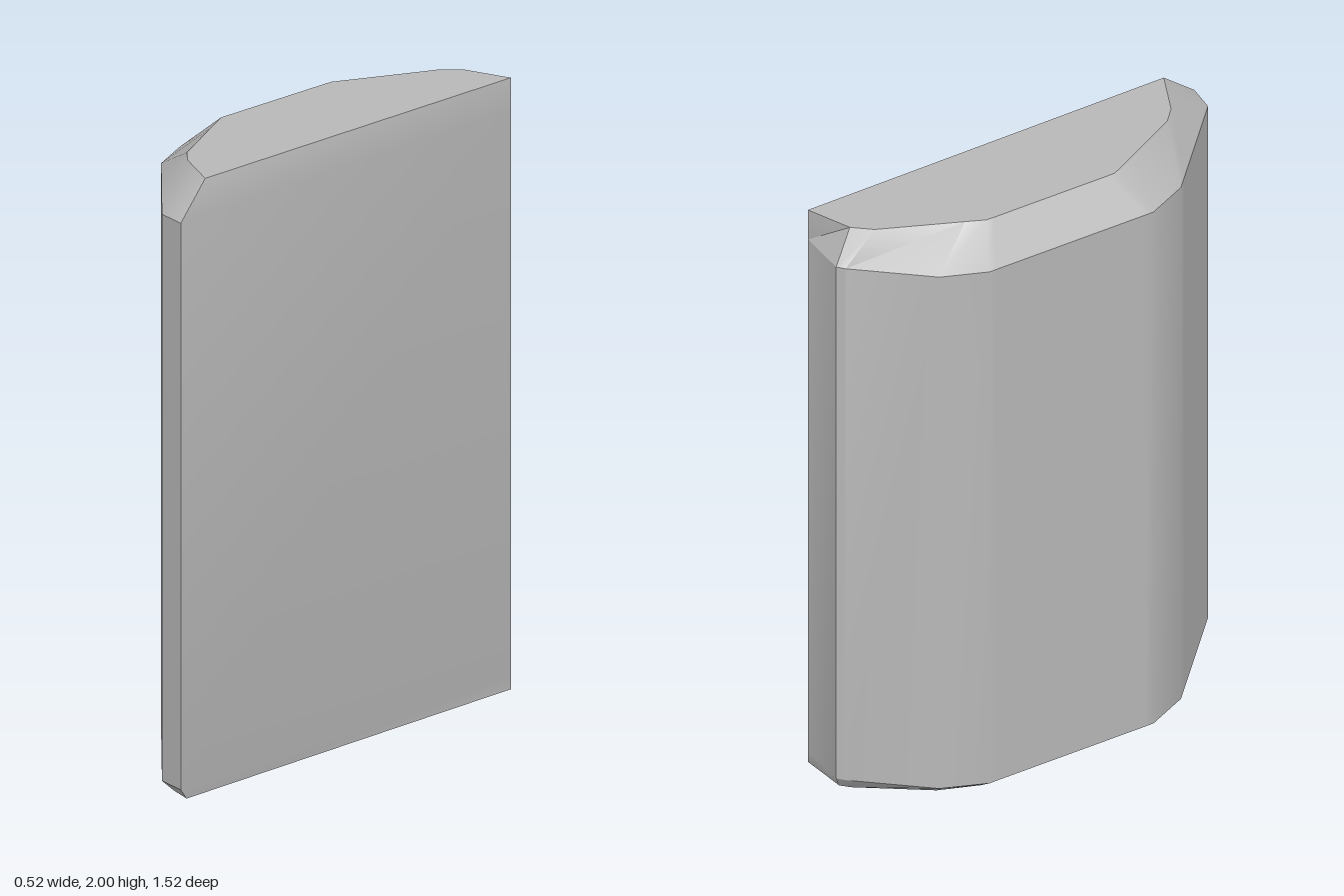
import * as THREE from 'three';
import { toCreasedNormals } from 'three/addons/utils/BufferGeometryUtils.js';

// Horizontal outlines as [x, z], running from the back corner round the bowed side to the front corner
const foot = [[.23, -.735], [.06, -.738], [.03, -.715], [-.14, -.51], [-.195, -.38], [-.195, -.35],
  [-.2, .19], [-.2, .22], [-.14, .36], [-.09, .41], [.16, .69], [.247, .72]];
const body = [[.23, -.735], [.045, -.76], [.02, -.742], [-.19, -.535], [-.255, -.39], [-.255, -.36],
  [-.26, .2], [-.26, .23], [-.19, .385], [-.14, .436], [.155, .735], [.258, .757]];
const crown = [[.23, -.735], [.07, -.69], [.015, -.635], [-.11, -.38], [-.14, -.32], [-.141, -.29],
  [-.145, .14], [-.145, .165], [-.1, .255], [.015, .48], [.065, .53], [.23, .62]];

// Skins stacked outlines and closes both ends
function loft(rings) {
  const n = rings[0].outline.length;
  const positions = rings.flatMap(({ y, outline }) => outline.flatMap(([x, z]) => [x, y, z]));
  const index = [];
  for (let r = 0; r < rings.length - 1; r++) {
    for (let i = 0; i < n; i++) {
      const a = r * n + i, b = r * n + (i + 1) % n;
      index.push(a, b, b + n, a, b + n, a + n);
    }
  }
  const top = (rings.length - 1) * n;
  for (let i = 1; i < n - 1; i++) {
    index.push(0, i + 1, i);
    index.push(top, top + i, top + i + 1);
  }
  const geometry = new THREE.BufferGeometry();
  geometry.setAttribute('position', new THREE.Float32BufferAttribute(positions, 3));
  geometry.setIndex(index);
  return toCreasedNormals(geometry, 0.55);
}

export function createModel() {
  const group = new THREE.Group();
  group.name = 'bevelledSlab';
  const grey = new THREE.MeshStandardMaterial({ color: 0xb8b8b8 });
  grey.name = 'plain grey';

  // Flat-backed slab with a small bevel below and a wide one above
  const slab = new THREE.Mesh(loft([
    { y: 0, outline: foot },
    { y: 0.04, outline: body },
    { y: 1.893, outline: body },
    { y: 2, outline: crown },
  ]), grey);
  slab.name = 'slab';
  group.add(slab);
  return group;
}
